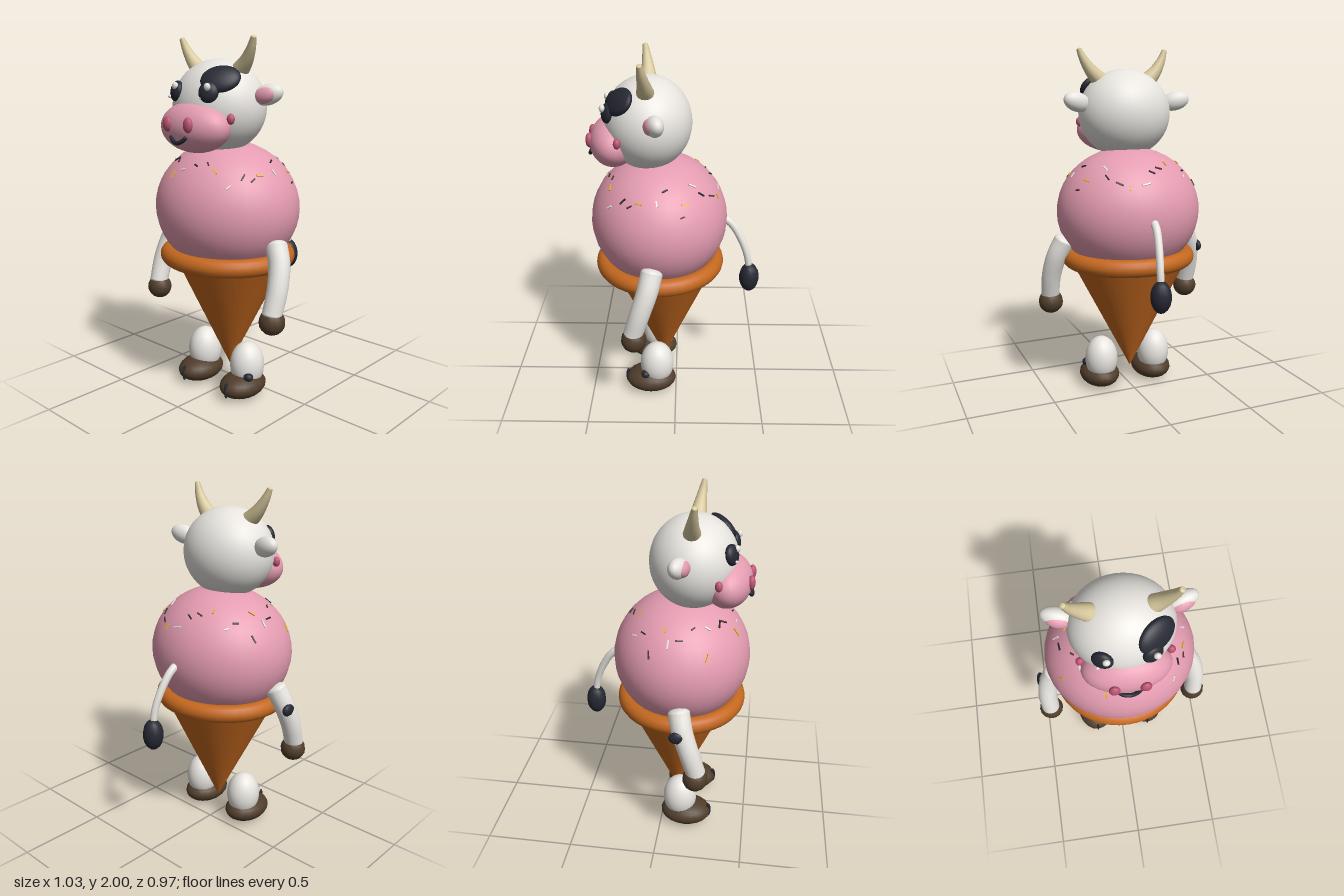
import * as THREE from 'three';

const mat = (name, color) => {
  const m = new THREE.MeshStandardMaterial({ color });
  m.name = name;
  return m;
};

export function createModel() {
  const white = mat('white', 0xeeebe6), pink = mat('pink', 0xe49cb1), orange = mat('waffleOrange', 0xc4681f);
  const brown = mat('hoofBrown', 0x503d2b), black = mat('black', 0x262833), rose = mat('rose', 0xbd5573);
  const horn = mat('horn', 0xdacb9f), yellow = mat('yellow', 0xe2b22c);
  const model = new THREE.Group();
  model.name = 'iceCreamCow';

  const add = (name, geometry, material, parent = model) => {
    const mesh = new THREE.Mesh(geometry, material);
    mesh.name = name;
    parent.add(mesh);
    return mesh;
  };

  // Ellipsoid from centre and radii
  const ball = (name, material, pos, radii, seg = 24) => {
    const mesh = add(name, new THREE.SphereGeometry(1, seg, Math.ceil(seg * 0.67)), material);
    mesh.position.set(...pos);
    mesh.scale.set(...radii);
    return mesh;
  };

  // Tube along a curve with the radius running from r0 to r1, and rounded ends
  const limb = (name, material, points, r0, r1, cap = 0.5) => {
    const group = new THREE.Group();
    group.name = name;
    model.add(group);
    const curve = new THREE.CatmullRomCurve3(points.map(p => new THREE.Vector3(...p)));
    const steps = 16, sides = 16;
    const g = new THREE.TubeGeometry(curve, steps, 1, sides);
    const pos = g.attributes.position, v = new THREE.Vector3();
    for (let i = 0; i < pos.count; i++) {
      const t = Math.floor(i / (sides + 1)) / steps;
      const c = curve.getPointAt(t);
      v.fromBufferAttribute(pos, i).sub(c).multiplyScalar(r0 + (r1 - r0) * t).add(c);
      pos.setXYZ(i, v.x, v.y, v.z);
    }
    add(name + 'Shaft', g, material, group);
    [[0, r0], [1, r1]].forEach(([t, r]) => {
      const end = add(name + 'End', new THREE.SphereGeometry(r, 16, 10), material, group);
      end.position.copy(curve.getPointAt(t));
      end.scale.z = cap;
      end.lookAt(end.position.clone().add(curve.getTangentAt(t)));
    });
    return group;
  };

  // Waffle cone and rim
  const cone = add('cone', new THREE.ConeGeometry(0.355, 0.69, 48), orange);
  cone.rotation.x = Math.PI;
  cone.position.set(0, 0.465, 0.075);
  cone.scale.z = 0.86;
  const rim = add('coneRim', new THREE.TorusGeometry(0.342, 0.05, 16, 48), orange);
  rim.rotation.x = Math.PI / 2;
  rim.position.set(0, 0.807, 0.095);
  rim.scale.y = 0.94;

  // Ice cream scoop body
  const bodyC = [0, 1.08, 0.095], bodyR = [0.42, 0.37, 0.383];
  ball('scoop', pink, bodyC, bodyR, 32);

  // Sprinkles lying on the upper scoop
  let seed = 11;
  const rand = () => (seed = (seed * 16807) % 2147483647) / 2147483647;
  const sprinkleColours = [white, yellow, brown, black];
  for (let i = 0; i < 32; i++) {
    const a = (i + rand() * 0.7) / 32 * Math.PI * 2;
    const e = 0.42 + rand() * 0.5;
    const dir = new THREE.Vector3(Math.cos(a) * Math.cos(e), Math.sin(e), Math.sin(a) * Math.cos(e));
    const s = add('sprinkle', new THREE.BoxGeometry(0.008, 0.025 + rand() * 0.025, 0.008), sprinkleColours[i % 4]);
    s.position.set(...bodyC.map((c, k) => c + bodyR[k] * dir.getComponent(k)));
    const normal = dir.clone().divide(new THREE.Vector3(...bodyR));
    s.lookAt(s.position.clone().add(normal));
    s.rotateZ(rand() * Math.PI);
  }

  // Head, muzzle and mouth
  ball('head', white, [0, 1.635, 0.152], [0.268, 0.25, 0.238], 40);
  ball('muzzle', pink, [0, 1.535, 0.335], [0.225, 0.135, 0.132], 32);
  limb('mouth', black, [[-0.052, 1.488, 0.455], [-0.03, 1.47, 0.464], [0, 1.461, 0.467],
    [0.03, 1.47, 0.464], [0.052, 1.488, 0.455]], 0.011, 0.011, 1);

  // Dark patch over the left eye
  const patch = ball('eyePatch', black, [0.142, 1.782, 0.29], [0.105, 0.078, 0.034]);
  patch.lookAt(patch.position.clone().add(new THREE.Vector3(1.7, 2.2, 2.7)));
  patch.rotateZ(0.15);

  for (const s of [-1, 1]) {
    const side = s > 0 ? 'left' : 'right';

    // Face details
    const eye = ball(side + 'Eye', black, [s * 0.118, 1.718, 0.353], [0.054, 0.055, 0.03]);
    eye.rotation.set(-0.25, s * 0.4, 0);
    ball(side + 'EyeGlint', white, [s * 0.118 + 0.016, 1.745, 0.378], [0.019, 0.02, 0.016], 12);
    ball(side + 'EyeSmallGlint', white, [s * 0.118 - 0.026, 1.69, 0.38], [0.009, 0.009, 0.008], 10);
    ball(side + 'Nostril', rose, [s * 0.076, 1.556, 0.46], [0.029, 0.04, 0.021], 16);
    ball(side + 'Cheek', rose, [s * 0.222, 1.585, 0.3], [0.022, 0.028, 0.02], 14);

    // Ear with pink inside
    const ear = ball(side + 'Ear', white, [s * 0.3, 1.703, 0.103], [0.085, 0.054, 0.046]);
    ear.rotation.set(0, s * 0.25, s * 0.25);
    const inner = ball(side + 'InnerEar', pink, [s * 0.3, 1.7, 0.127], [0.063, 0.042, 0.032], 20);
    inner.rotation.copy(ear.rotation);

    // Horn
    limb(side + 'Horn', horn, [[s * 0.135, 1.81, 0.152], [s * 0.195, 1.87, 0.157],
      [s * 0.238, 1.935, 0.166], [s * 0.262, 1.99, 0.174]], 0.051, 0.015);

    // Arm and hand
    limb(side + 'Arm', white, [[s * 0.385, 0.92, 0.125], [s * 0.425, 0.83, 0.148],
      [s * 0.447, 0.71, 0.188], [s * 0.446, 0.58, 0.228]], 0.06, 0.054);
    ball(side + 'Hand', brown, [s * 0.444, 0.538, 0.226], [0.072, 0.07, 0.07], 14);

    // Leg, hoof and cleft
    ball(side + 'Leg', white, [s * 0.17, 0.18, 0.113], [0.097, 0.135, 0.1]);
    ball(side + 'Hoof', brown, [s * 0.17, 0.073, 0.15], [0.116, 0.073, 0.15], 20);
    ball(side + 'HoofCleft', black, [s * 0.17, 0.08, 0.288], [0.008, 0.05, 0.016], 12);
  }

  // Coat spots on the right arm and left leg
  ball('armSpot', black, [-0.473, 0.818, 0.125], [0.022, 0.035, 0.044], 14);
  ball('legSpot', black, [0.238, 0.142, 0.18], [0.03, 0.024, 0.026], 14);

  // Tail with tuft
  limb('tail', white, [[0, 1.08, -0.25], [0.005, 1.04, -0.312], [0.018, 0.94, -0.375],
    [0.028, 0.84, -0.412], [0.03, 0.74, -0.428]], 0.023, 0.019);
  ball('tailTuft', black, [0.03, 0.7, -0.428], [0.058, 0.09, 0.058], 12);

  return model;
}
